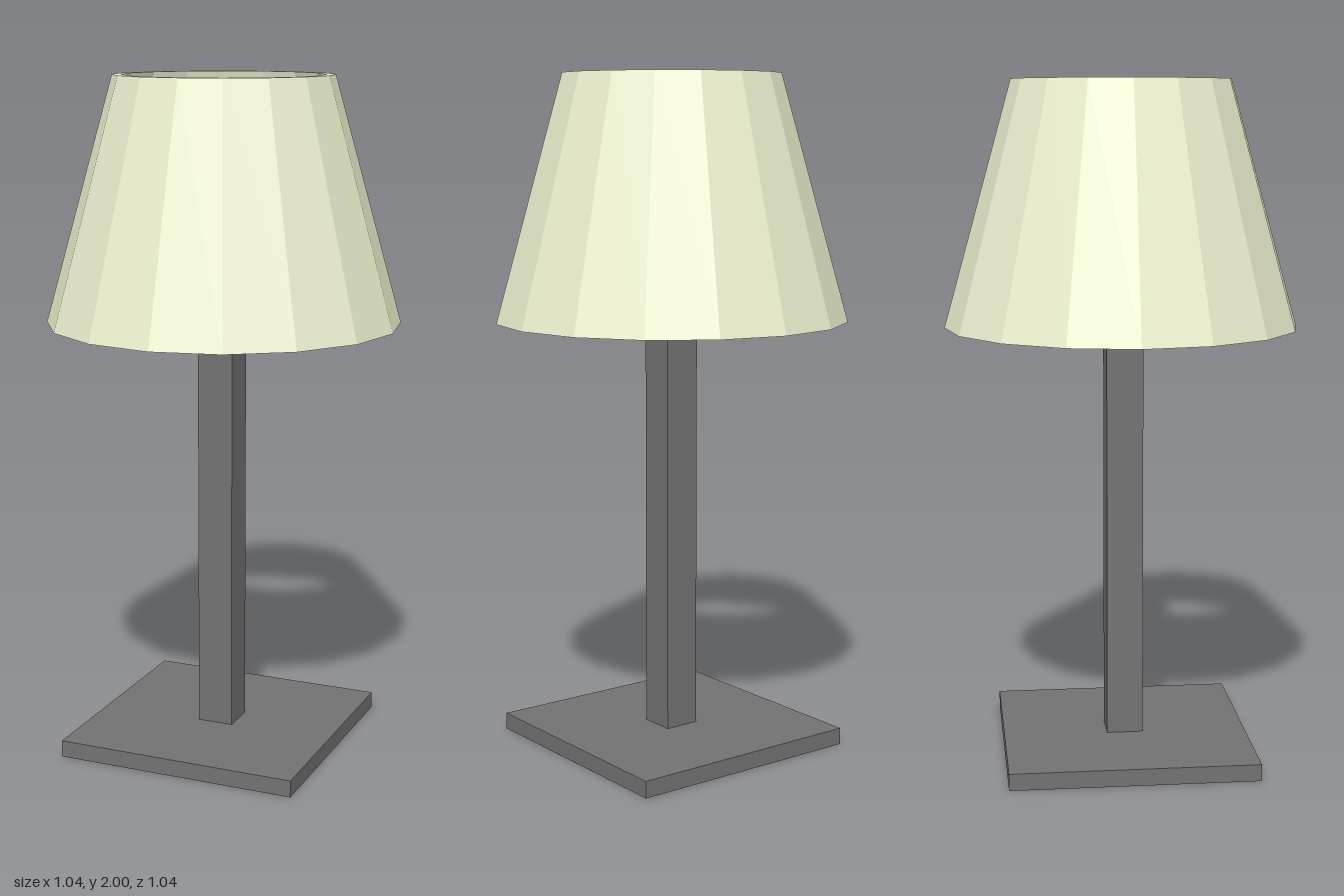
import * as THREE from 'three';

export function createModel() {
  const group = new THREE.Group();
  const metal = new THREE.MeshStandardMaterial({ color: 0x737373, flatShading: true });
  const fabric = new THREE.MeshStandardMaterial({ color: 0xeef2cf, flatShading: true });

  // Box standing on the given height, on the lamp's axis
  const addBox = (name, width, height, depth, bottom) => {
    const mesh = new THREE.Mesh(new THREE.BoxGeometry(width, height, depth), metal);
    mesh.position.set(-0.004, bottom + height / 2, 0.004);
    mesh.name = name;
    group.add(mesh);
  };

  addBox('base', 0.73, 0.05, 0.73, 0);
  addBox('post', 0.108, 1.25, 0.108, 0.05);
  // Bar across the shade, its ends sunk in the shade wall
  addBox('shadeSupport', 0.96, 0.045, 0.112, 1.295);

  // Hollow sixteen-sided shade: outside, top rim, inside, bottom rim
  const profile = [[0.52, 1.285], [0.32, 2], [0.294, 2], [0.48, 1.285], [0.52, 1.285]]
    .map(([r, y]) => new THREE.Vector2(r, y));
  const shade = new THREE.Mesh(new THREE.LatheGeometry(profile, 16), fabric);
  shade.name = 'shade';
  group.add(shade);

  return group;
}
